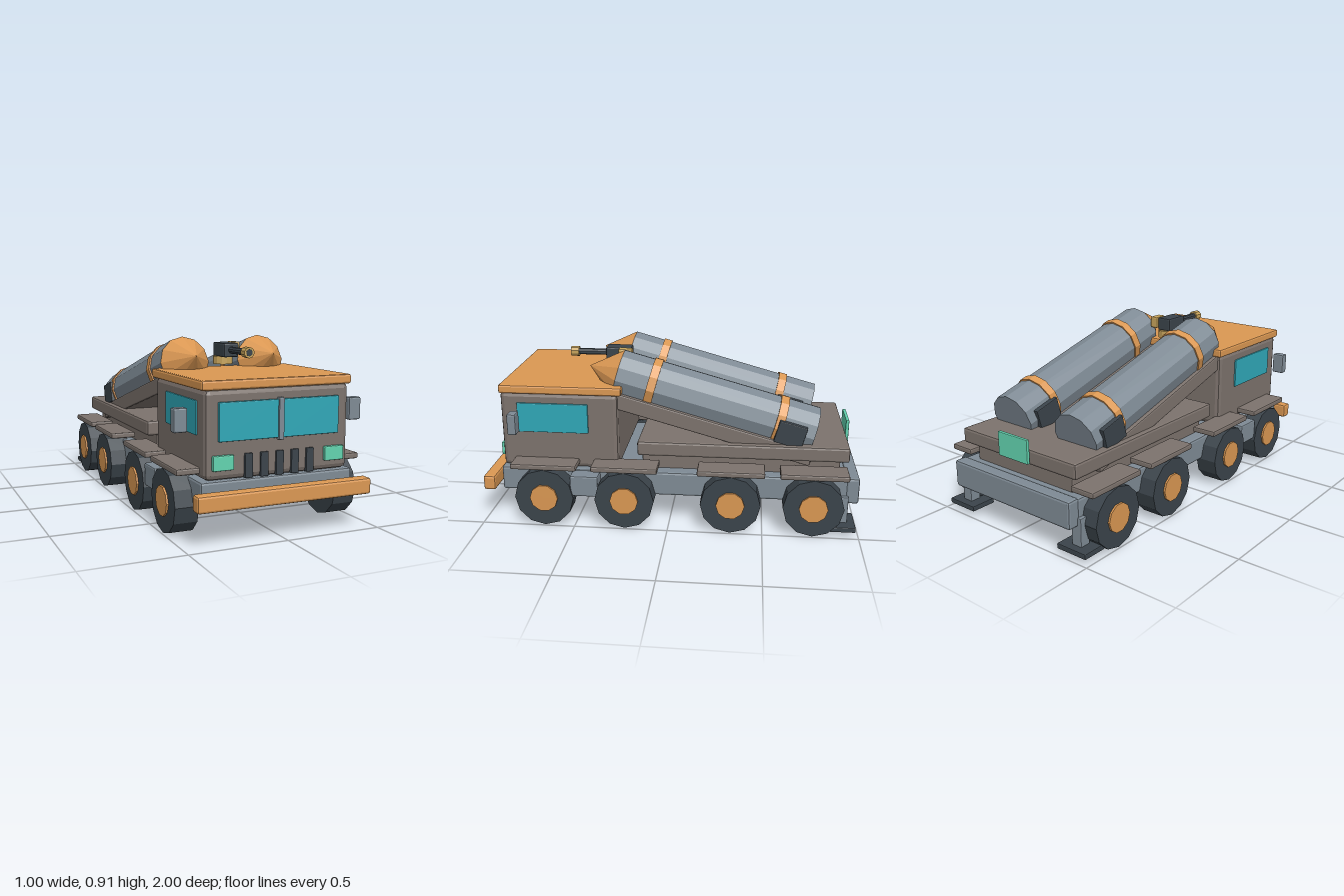
import * as THREE from 'three';
import { RoundedBoxGeometry } from 'three/addons/geometries/RoundedBoxGeometry.js';

const paint = (color) => new THREE.MeshStandardMaterial({ color, flatShading: true });
const BROWN = paint(0x7d736d), ORANGE = paint(0xdb9853), STEEL = paint(0x7f8b95), DARK = paint(0x3b444b);
const GLASS = paint(0x30a8b8), MINT = paint(0x63d4b0), GOLD = paint(0xc9a55c);

// Chamfered box given by its extents along x, y and z
function box(parent, name, mat, [x0, x1], [y0, y1], [z0, z1], bevel = 0.008) {
  const w = x1 - x0, h = y1 - y0, d = z1 - z0;
  const r = Math.min(bevel, w * 0.3, h * 0.3, d * 0.3);
  const mesh = new THREE.Mesh(new RoundedBoxGeometry(w, h, d, 1, r), mat);
  mesh.position.set((x0 + x1) / 2, (y0 + y1) / 2, (z0 + z1) / 2);
  mesh.name = name;
  parent.add(mesh);
  return mesh;
}

// The same box on both sides of the model
function pair(parent, name, mat, [x0, x1], y, z, bevel) {
  box(parent, name + 'Left', mat, [x0, x1], y, z, bevel);
  box(parent, name + 'Right', mat, [-x1, -x0], y, z, bevel);
}

// Cylinder lying along an axis, centred on a point
function cyl(parent, name, mat, axis, rTop, rBottom, len, pos, sides = 12) {
  const geo = new THREE.CylinderGeometry(rTop, rBottom, len, sides);
  if (axis === 'x') geo.rotateZ(Math.PI / 2);
  if (axis === 'z') geo.rotateX(Math.PI / 2);
  const mesh = new THREE.Mesh(geo, mat);
  mesh.position.set(...pos);
  mesh.name = name;
  parent.add(mesh);
  return mesh;
}

// Tube with nose cone, bands, clamps and cradle; local z runs forward
function launchTube(x) {
  const g = new THREE.Group();
  g.name = 'launchTube';
  cyl(g, 'tube', STEEL, 'z', 0.135, 0.135, 1.08, [0, 0, -0.54]);
  const nose = new THREE.Mesh(new THREE.ConeGeometry(0.135, 0.16, 12).rotateX(Math.PI / 2), ORANGE);
  nose.position.z = 0.08;
  nose.name = 'noseCone';
  g.add(nose);
  for (const z of [-0.19, -0.886]) cyl(g, 'band', ORANGE, 'z', 0.143, 0.143, 0.045, [0, 0, z]);
  box(g, 'cradleBeam', BROWN, [-0.14, 0.14], [-0.15, -0.065], [-1.1, 0]);
  pair(g, 'clamp', DARK, [0.105, 0.148], [-0.07, 0.05], [-1.03, -0.88], 0.004);
  g.position.set(x, 0.78, 0.286);
  g.rotation.x = -0.27;
  return g;
}

export function createModel() {
  const model = new THREE.Group();
  model.name = 'launcherTruck';

  // Chassis
  box(model, 'chassis', STEEL, [-0.4, 0.4], [0.16, 0.292], [-0.94, 0.91], 0.012);
  box(model, 'rearBeam', STEEL, [-0.4, 0.4], [0.155, 0.297], [-1, -0.93], 0.012);
  box(model, 'bumper', ORANGE, [-0.455, 0.455], [0.175, 0.255], [0.935, 1], 0.012);
  pair(model, 'sideTank', STEEL, [0.38, 0.48], [0.17, 0.285], [0.37, 0.52]);
  box(model, 'deck', BROWN, [-0.39, 0.39], [0.38, 0.46], [-0.94, 0.17], 0.012);
  box(model, 'deckSupport', BROWN, [-0.33, 0.33], [0.28, 0.39], [-0.9, 0.15]);

  // Wheels and fenders
  for (const z of [0.66, 0.23, -0.33, -0.76]) {
    for (const s of [-1, 1]) {
      const wheel = new THREE.Group();
      wheel.name = 'wheel';
      cyl(wheel, 'tyre', DARK, 'x', 0.158, 0.158, 0.12, [0, 0, 0]);
      cyl(wheel, 'hub', ORANGE, 'x', 0.075, 0.075, 0.13, [s * 0.005, 0, 0], 10);
      wheel.position.set(s * 0.43, 0.16, z);
      model.add(wheel);
    }
    pair(model, 'fender', BROWN, [0.35, 0.49], [0.315, 0.346], [z - 0.176, z + 0.176]);
  }

  // Cab
  const cab = new THREE.Group();
  cab.name = 'cab';
  model.add(cab);
  box(cab, 'cabBody', BROWN, [-0.377, 0.377], [0.292, 0.71], [0.27, 0.902], 0.025);
  box(cab, 'roof', ORANGE, [-0.392, 0.392], [0.704, 0.75], [0.25, 0.902], 0.01);
  pair(cab, 'windscreen', GLASS, [0.008, 0.315], [0.472, 0.652], [0.89, 0.916], 0.004);
  box(cab, 'windscreenPost', STEEL, [-0.014, 0.014], [0.462, 0.66], [0.89, 0.925], 0.004);
  pair(cab, 'sideWindow', GLASS, [0.36, 0.386], [0.492, 0.652], [0.43, 0.81], 0.004);
  pair(cab, 'headlight', MINT, [0.24, 0.345], [0.34, 0.41], [0.89, 0.92], 0.005);
  for (let i = -2; i <= 2; i++) {
    box(cab, 'grilleBar', DARK, [i * 0.081 - 0.02, i * 0.081 + 0.02], [0.295, 0.41], [0.89, 0.914], 0.003);
  }
  pair(cab, 'mirror', STEEL, [0.432, 0.5], [0.512, 0.625], [0.785, 0.832]);

  // Roof gun
  const gun = new THREE.Group();
  gun.name = 'roofGun';
  model.add(gun);
  cyl(gun, 'gunMount', GOLD, 'y', 0.052, 0.052, 0.042, [0, 0.785, 0.28]);
  box(gun, 'gunBody', DARK, [-0.042, 0.042], [0.805, 0.878], [0.245, 0.388]);
  box(gun, 'ammoBox', GOLD, [0.042, 0.088], [0.815, 0.88], [0.235, 0.312]);
  cyl(gun, 'barrel', DARK, 'z', 0.018, 0.018, 0.22, [0, 0.842, 0.482], 10);
  cyl(gun, 'muzzle', GOLD, 'z', 0.028, 0.028, 0.045, [0, 0.842, 0.568], 10);
  cyl(gun, 'bore', DARK, 'z', 0.016, 0.016, 0.01, [0, 0.842, 0.587], 10);

  // Launch tubes
  model.add(launchTube(0.22), launchTube(-0.22));

  // Rear plate and stabiliser legs
  box(model, 'rearPlate', MINT, [-0.1, 0.1], [0.39, 0.515], [-0.962, -0.944], 0.004);
  pair(model, 'stabiliserLeg', STEEL, [0.36, 0.42], [0.05, 0.2], [-0.945, -0.885], 0.005);
  pair(model, 'stabiliserFoot', DARK, [0.3, 0.48], [0.027, 0.055], [-0.985, -0.845], 0.005);
  return model;
}
